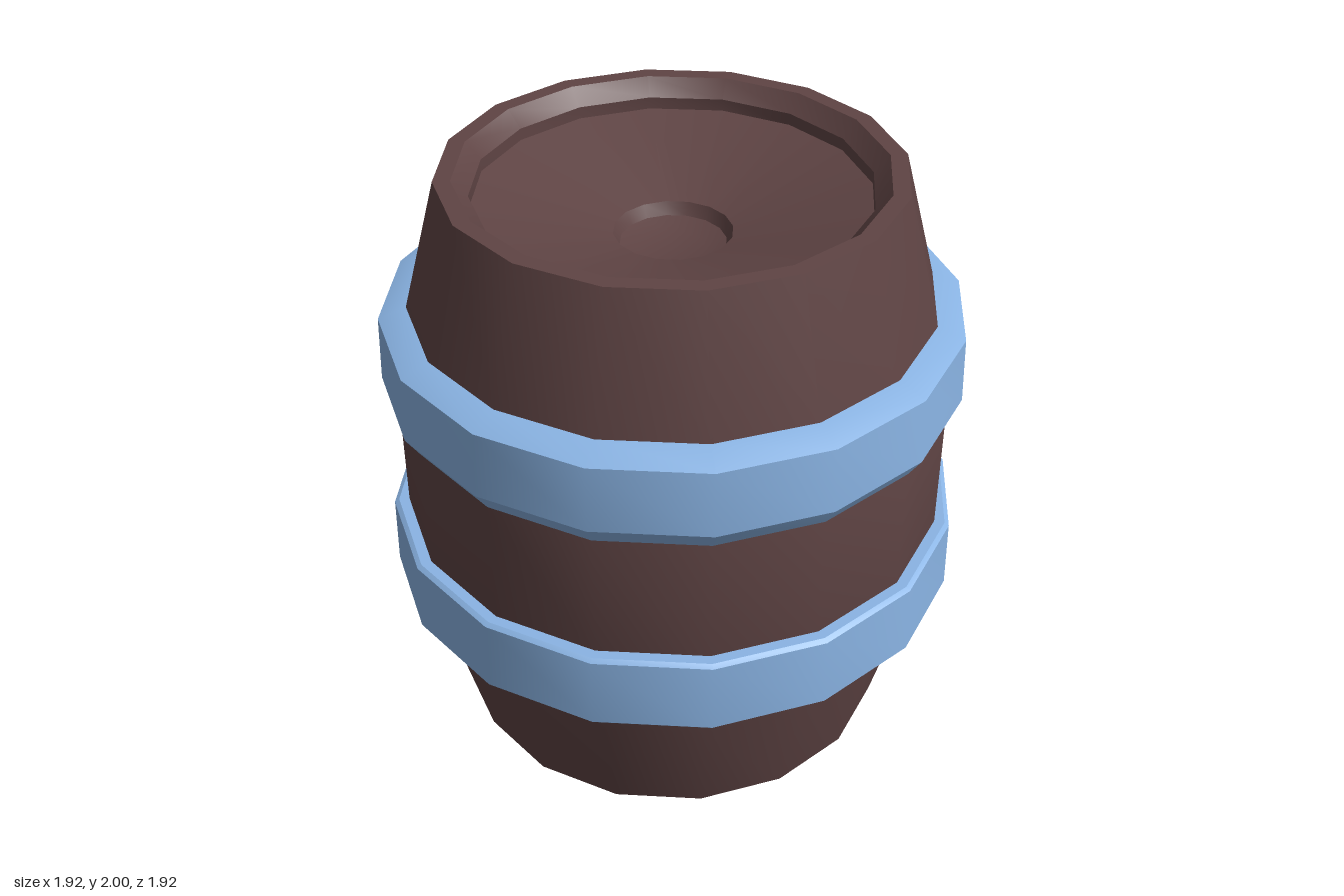
import * as THREE from 'three';
import { toCreasedNormals } from 'three/addons/utils/BufferGeometryUtils.js';

const SIDES = 16;

// Revolves a [radius, height] profile, keeping strong edges sharp
function turned(name, profile, color) {
  const points = profile.map(([r, y]) => new THREE.Vector2(r, y));
  const geometry = toCreasedNormals(new THREE.LatheGeometry(points, SIDES), 0.5);
  const mesh = new THREE.Mesh(geometry, new THREE.MeshStandardMaterial({ color }));
  mesh.name = name;
  return mesh;
}

export function createModel() {
  const group = new THREE.Group();
  group.name = 'barrel';
  const wood = 0x5f4444;
  const metal = 0x8ab4e4;

  // Body: recessed base, bulging staves, rim, dished lid with a central hollow
  group.add(turned('barrelBody', [
    [0, 0.08], [0.6, 0.08], [0.6, 0],
    [0.735, 0], [0.845, 0.42], [0.905, 0.78],
    [0.905, 1.24], [0.85, 1.57], [0.735, 2],
    [0.68, 2], [0.63, 1.945], [0.63, 1.905],
    [0.19, 1.785], [0.17, 1.745], [0.1, 1.725], [0, 1.725],
  ], wood));

  // Hoops: closed bands with chamfered edges, sunk into the staves
  group.add(turned('lowerHoop', [
    [0.82, 0.515], [0.915, 0.515], [0.96, 0.56], [0.955, 0.8],
    [0.94, 0.81], [0.82, 0.81], [0.82, 0.515],
  ], metal));
  group.add(turned('upperHoop', [
    [0.82, 1.235], [0.9, 1.235], [0.95, 1.31], [0.942, 1.53],
    [0.85, 1.567], [0.82, 1.567], [0.82, 1.235],
  ], metal));

  return group;
}
